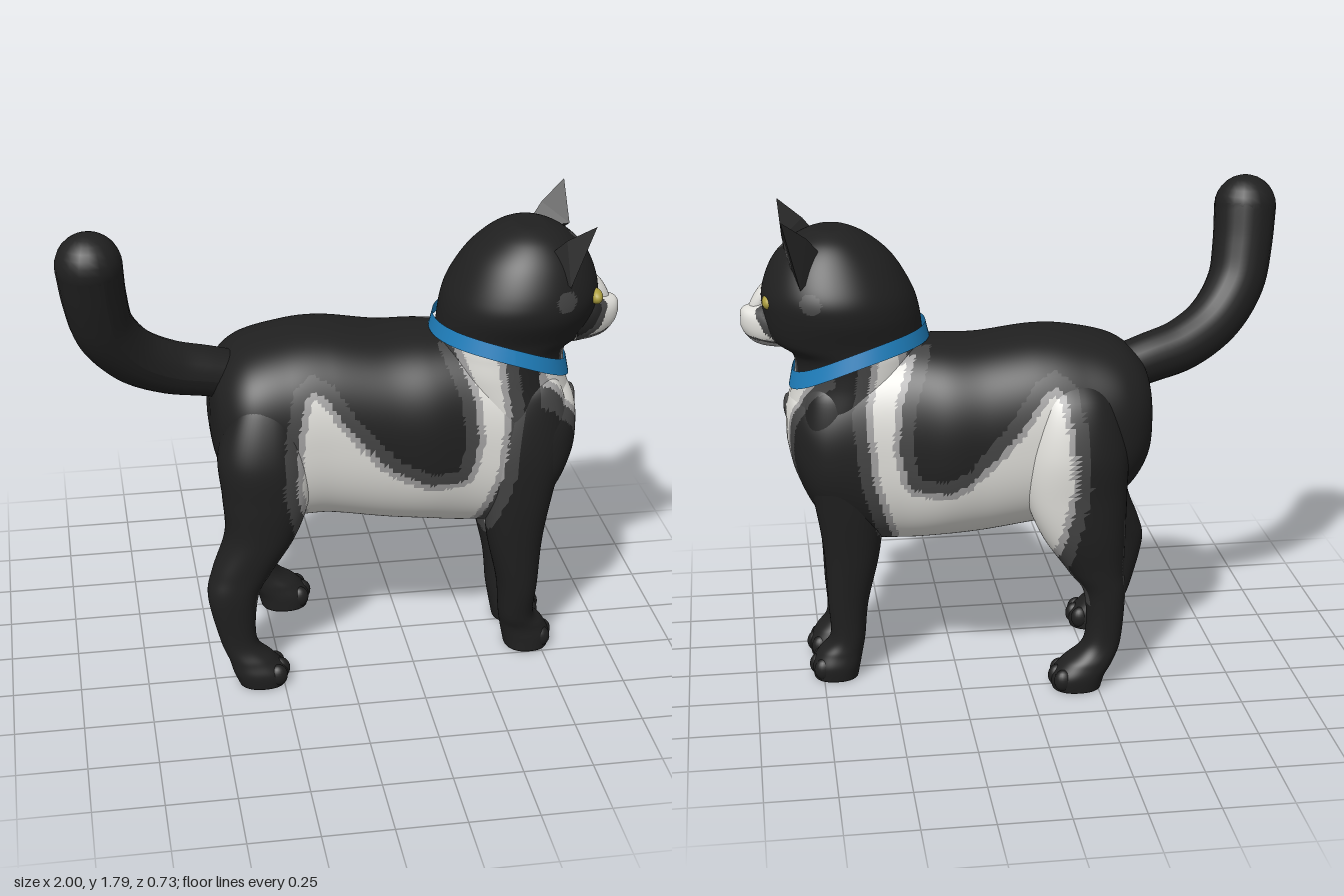
import * as THREE from 'three';
import { ConvexGeometry } from 'three/addons/geometries/ConvexGeometry.js';

const mat = (name, color, side = THREE.FrontSide) => {
  const m = new THREE.MeshStandardMaterial({ color, side });
  m.name = name;
  return m;
};

// value at t from a short table of [t, value], t ascending
function table(rows, t) {
  if (t <= rows[0][0]) return rows[0][1];
  for (let i = 1; i < rows.length; i++) {
    const [a, va] = rows[i - 1], [b, vb] = rows[i];
    if (t <= b) return va + (vb - va) * (t - a) / (b - a);
  }
  return rows[rows.length - 1][1];
}

// ---- coat markings: positive depth lies inside a white patch ----
const flank = [
  [-0.15, 0.4], [-0.2, 0.6], [-0.245, 0.8], [-0.235, 1.0], [-0.2, 1.17], [-0.13, 1.22], [-0.055, 1.18],
  [0.05, 1.03], [0.18, 0.89], [0.3, 0.83], [0.39, 0.835], [0.415, 0.95], [0.4, 1.1], [0.3, 1.36],
  [0.58, 1.36], [0.625, 1.05], [0.6, 0.8], [0.53, 0.56], [0.48, 0.4]];
function flankDepth(x, y) {
  let inside = false, d = 9;
  flank.forEach(([ax, ay], i) => {
    const [bx, by] = flank[(i + 1) % flank.length];
    if ((ay > y) !== (by > y) && x < ax + (bx - ax) * (y - ay) / (by - ay)) inside = !inside;
    const ex = bx - ax, ey = by - ay;
    const k = THREE.MathUtils.clamp(((x - ax) * ex + (y - ay) * ey) / (ex * ex + ey * ey), 0, 1);
    d = Math.min(d, Math.hypot(x - ax - k * ex, y - ay - k * ey));
  });
  return inside ? d : -d;
}
const chestWidth = [[0.36, 0], [0.42, 0.08], [0.5, 0.11], [0.6, 0.115], [0.8, 0.125], [1.0, 0.195], [1.1, 0.225], [1.2, 0.26]];
const chestCentre = [[0.6, 0.05], [0.8, 0.07], [1.0, 0.105], [1.1, 0.11], [1.2, 0.085]];
const blazeWidth = [[1.22, 0.1], [1.3, 0.13], [1.36, 0.105], [1.42, 0.05], [1.54, 0]];
const collarY = x => 1.315 - 0.175 * Math.pow(Math.max(0, x - 0.325) / 0.51, 2);

// 0 black, 1 dark grey, 2 light grey, 3 white
const shade = d => (d > 0.07 ? 3 : d > 0.046 ? 2 : d > 0 ? 1 : 0);
function bodyCoat(x, y, z) {
  const sx = z < 0 && x < 0.2 ? x - 0.035 : x;
  let d = flankDepth(sx, y);
  if (y > 1.1) d = Math.min(d, Math.abs(z - 0.04) - 0.1);
  if (x > 0.68 || (x > 0.45 && y < 0.85))
    d = Math.max(d, table(chestWidth, y) - Math.abs(z - table(chestCentre, y)));
  // inner thighs
  if (x < 0 && y < 0.66) d = Math.max(d, Math.min(0.3 - Math.abs(z), y - 0.33, x + 0.42));
  return shade(d);
}
function faceCoat(x, y, z) {
  const d = table(blazeWidth, y) - Math.abs(z - 0.11);
  if (d <= 0) return 0;
  if (d < 0.02 || Math.abs(y - 1.303 + Math.abs(z - 0.11) * 0.15) < 0.006) return 1;
  return y < 1.298 ? 2 : 3;
}
function headCoat(x, y, z) {
  if (y < collarY(x)) return bodyCoat(x, y, z);
  if (Math.hypot(x - 0.757, y - 1.472) < 0.037) return 1;
  if (x > 0.7 && Math.hypot(y - 1.63, z - 0.1) < 0.018) return 1;
  return x < 0.72 ? 0 : faceCoat(x, y, z);
}

// Loft of rounded rings. Row: [t, a0, a1, z0, z1]; t runs along y (a = x) or along x (a = y).
function loft(rows, axis, coat, round, steps, sides) {
  const rings = [];
  const cubic = (p, q, r, s, k) =>
    q + 0.5 * k * (r - p + k * (2 * p - 5 * q + 4 * r - s + k * (3 * (q - r) + s - p)));
  for (let i = 0; i < rows.length - 1; i++) {
    for (let s = 0; s < steps + (i === rows.length - 2 ? 1 : 0); s++) {
      const [p, q, r, e] = [-1, 0, 1, 2].map(o => rows[THREE.MathUtils.clamp(i + o, 0, rows.length - 1)]);
      rings.push(q.map((_, c) => cubic(p[c], q[c], r[c], e[c], s / steps)));
    }
  }
  const pos = [], lists = [[], [], [], []];
  const put = (t, a, z) => (axis === 'y' ? pos.push(a, t, z) : pos.push(t, a, z));
  const bend = v => Math.sign(v) * Math.pow(Math.abs(v), 2 / round);
  for (const [t, a0, a1, z0, z1] of rings)
    for (let j = 0; j < sides; j++) {
      const th = j / sides * Math.PI * 2;
      put(t, (a0 + a1) / 2 + (a1 - a0) / 2 * bend(Math.cos(th)), (z0 + z1) / 2 + (z1 - z0) / 2 * bend(Math.sin(th)));
    }
  const caps = [rings[0], rings[rings.length - 1]].map(([t, a0, a1, z0, z1]) => {
    put(t, (a0 + a1) / 2, (z0 + z1) / 2);
    return pos.length / 3 - 1;
  });
  const tri = (a, b, c) => {
    const m = [0, 1, 2].map(k => (pos[a * 3 + k] + pos[b * 3 + k] + pos[c * 3 + k]) / 3);
    lists[coat(...m)].push(...(axis === 'y' ? [a, b, c] : [a, c, b]));
  };
  const last = (rings.length - 1) * sides;
  for (let j = 0; j < sides; j++) {
    const n = (j + 1) % sides;
    for (let i = 0; i < last; i += sides) {
      tri(i + j, i + sides + j, i + n);
      tri(i + n, i + sides + j, i + sides + n);
    }
    tri(caps[0], j, n);
    tri(caps[1], last + n, last + j);
  }
  const g = new THREE.BufferGeometry();
  g.setAttribute('position', new THREE.Float32BufferAttribute(pos, 3));
  g.setIndex(lists.flat());
  let start = 0;
  lists.forEach((l, i) => { if (l.length) g.addGroup(start, l.length, i); start += l.length; });
  g.computeVertexNormals();
  return g;
}

export function createModel() {
  const cat = new THREE.Group();
  cat.name = 'cat';
  const black = mat('black fur', 0x202020), dark = mat('dark grey fur', 0x434343);
  const light = mat('light grey fur', 0xa09f9f), white = mat('white fur', 0xdcdbd6);
  const blue = mat('blue collar', 0x1f7fbd, THREE.DoubleSide), yellow = mat('yellow eye', 0xaea040);
  const coat = [black, dark, light, white];
  const add = (name, geo, m) => {
    const mesh = new THREE.Mesh(geo, m);
    mesh.name = name;
    cat.add(mesh);
    return mesh;
  };
  const ball = (name, m, x, y, z, rx, ry, rz, tilt = 0) => {
    const b = add(name, new THREE.SphereGeometry(1, 20, 14), m);
    b.position.set(x, y, z);
    b.scale.set(rx, ry, rz);
    b.rotation.z = tilt;
  };

  // torso
  add('torso', loft([
    [-0.475, 0.94, 1.06, -0.08, 0.06], [-0.45, 0.81, 1.17, -0.21, 0.2], [-0.36, 0.69, 1.255, -0.29, 0.29],
    [-0.2, 0.6, 1.3, -0.31, 0.31], [-0.05, 0.59, 1.31, -0.31, 0.31], [0.15, 0.56, 1.285, -0.3, 0.32],
    [0.3, 0.545, 1.285, -0.29, 0.33], [0.45, 0.53, 1.28, -0.24, 0.32], [0.6, 0.54, 1.25, -0.21, 0.33],
    [0.74, 0.63, 1.15, -0.18, 0.33], [0.82, 0.78, 1.09, -0.1, 0.27], [0.85, 0.9, 1.03, 0.01, 0.17]],
    'x', bodyCoat, 2.4, 12, 150), coat);

  // head and neck
  add('headAndNeck', loft([
    [0.9, 0.48, 0.82, -0.13, 0.3], [1.0, 0.42, 0.847, -0.175, 0.325], [1.15, 0.36, 0.815, -0.172, 0.312],
    [1.24, 0.35, 0.822, -0.172, 0.302], [1.3, 0.348, 0.895, -0.175, 0.308], [1.4, 0.36, 0.92, -0.2, 0.35],
    [1.48, 0.388, 0.92, -0.195, 0.345], [1.58, 0.45, 0.88, -0.14, 0.3], [1.65, 0.53, 0.81, -0.08, 0.24],
    [1.685, 0.6, 0.74, -0.01, 0.17], [1.69, 0.64, 0.7, 0.05, 0.11]], 'y', headCoat, 2.05, 11, 130), coat);

  // legs, from the ground up
  const legs = {
    frontLegLeft: [
      [0, 0.62, 0.785, 0.075, 0.25], [0.05, 0.61, 0.79, 0.07, 0.25], [0.1, 0.6, 0.765, 0.08, 0.25],
      [0.16, 0.59, 0.72, 0.1, 0.265], [0.3, 0.575, 0.725, 0.1, 0.295], [0.5, 0.53, 0.735, 0.09, 0.32],
      [0.7, 0.51, 0.765, 0.09, 0.34], [0.9, 0.49, 0.81, 0.08, 0.345], [1.1, 0.55, 0.78, 0.12, 0.315],
      [1.17, 0.62, 0.72, 0.18, 0.26]],
    frontLegRight: [
      [0, 0.62, 0.785, -0.13, 0.04], [0.05, 0.61, 0.79, -0.135, 0.045], [0.1, 0.6, 0.765, -0.125, 0.035],
      [0.16, 0.59, 0.72, -0.12, 0.025], [0.3, 0.575, 0.725, -0.13, 0.025], [0.5, 0.53, 0.735, -0.155, 0.03],
      [0.7, 0.51, 0.765, -0.18, 0.04], [0.9, 0.49, 0.81, -0.19, 0.06], [1.1, 0.55, 0.78, -0.16, 0.04],
      [1.17, 0.62, 0.72, -0.11, -0.02]],
    hindLegLeft: [
      [0, -0.415, -0.24, 0.2, 0.355], [0.05, -0.435, -0.235, 0.2, 0.36], [0.1, -0.45, -0.28, 0.2, 0.345],
      [0.18, -0.48, -0.345, 0.21, 0.325], [0.36, -0.52, -0.335, 0.18, 0.335], [0.46, -0.5, -0.28, 0.15, 0.335],
      [0.6, -0.45, -0.19, 0.11, 0.345], [0.75, -0.455, -0.14, 0.09, 0.355], [0.92, -0.465, -0.14, 0.08, 0.35],
      [1.1, -0.4, -0.18, 0.12, 0.285], [1.2, -0.34, -0.24, 0.14, 0.2]],
    hindLegRight: [
      [0, -0.265, -0.085, -0.35, -0.18], [0.05, -0.28, -0.08, -0.355, -0.18], [0.1, -0.31, -0.12, -0.345, -0.185],
      [0.18, -0.34, -0.205, -0.325, -0.19], [0.36, -0.355, -0.205, -0.335, -0.17], [0.46, -0.35, -0.14, -0.345, -0.15],
      [0.6, -0.355, -0.045, -0.365, -0.11], [0.75, -0.36, 0.01, -0.37, -0.09], [0.92, -0.36, 0.01, -0.37, -0.08],
      [1.1, -0.31, -0.04, -0.32, -0.12], [1.2, -0.24, -0.1, -0.22, -0.14]]
  };
  for (const [name, rows] of Object.entries(legs)) {
    add(name, loft(rows, 'y', bodyCoat, 2.3, 10, 56), coat);
    // toes
    const [, , front, z0, z1] = rows[1];
    for (const k of [0.2, 0.5, 0.8])
      ball(name + 'Toe', black, front - (k === 0.5 ? 0.025 : 0.04), 0.043, z0 + (z1 - z0) * k, 0.036, 0.042, 0.029);
  }

  // tail, swelling towards a round tip
  const path = new THREE.CatmullRomCurve3([
    [-0.36, 1.13, 0.01], [-0.48, 1.165, 0.03], [-0.62, 1.205, 0.06], [-0.75, 1.285, 0.11],
    [-0.84, 1.41, 0.165], [-0.87, 1.54, 0.205], [-0.885, 1.68, 0.24]].map(p => new THREE.Vector3(...p)));
  const tail = new THREE.TubeGeometry(path, 40, 1, 20), v = new THREE.Vector3();
  for (let i = 0; i < tail.attributes.position.count; i++) {
    const t = Math.floor(i / 21) / 40, c = path.getPointAt(t);
    v.fromBufferAttribute(tail.attributes.position, i).sub(c).multiplyScalar(0.088 + 0.027 * t).add(c);
    tail.attributes.position.setXYZ(i, v.x, v.y, v.z);
  }
  tail.computeVertexNormals();
  add('tail', tail, black);
  ball('tailTip', black, -0.885, 1.68, 0.24, 0.115, 0.115, 0.115);

  // collar: a flared band that dips towards the throat
  const band = new THREE.CylinderGeometry(0.95, 1, 0.056, 72, 1, true);
  const bp = band.attributes.position;
  for (let i = 0; i < bp.count; i++) {
    const x = 0.58 + 0.256 * bp.getX(i);
    bp.setXYZ(i, x, bp.getY(i) + collarY(x), 0.065 + 0.264 * bp.getZ(i));
  }
  band.computeVertexNormals();
  add('collar', band, blue);

  // dark spot on the chest
  ball('chestSpot', dark, 0.842, 1.015, 0.115, 0.016, 0.047, 0.044);

  // ears: tip, inner base, outer base, back base, back bulge
  const ears = {
    earRight: [[0.85, 1.76, -0.14], [0.84, 1.64, 0.0], [0.79, 1.52, -0.16], [0.69, 1.6, -0.07], [0.76, 1.69, -0.1]],
    earLeft: [[0.85, 1.745, 0.32], [0.84, 1.63, 0.17], [0.77, 1.52, 0.315], [0.69, 1.6, 0.23], [0.76, 1.68, 0.27]]
  };
  for (const [name, pts] of Object.entries(ears)) {
    const p = pts.map(a => new THREE.Vector3(...a));
    add(name, new ConvexGeometry(p), black);
    // patches of thin fur on the ear's open face
    const open = (name === 'earRight' ? [p[0], p[2], p[1]] : [p[0], p[1], p[2]]);
    const plane = new THREE.Triangle(...open);
    const mid = plane.getMidpoint(new THREE.Vector3()), normal = plane.getNormal(new THREE.Vector3());
    if (normal.x < 0) normal.negate();
    [[0.058, 0.003, dark, 'Lining'], [0.03, 0.006, light, 'Inside']].forEach(([r, lift, m, part]) => {
      const patch = add(name + part, new THREE.CircleGeometry(r, 12), m);
      patch.scale.set(0.75, 1.1, 1);
      patch.position.copy(mid).addScaledVector(normal, lift);
      patch.lookAt(patch.position.clone().add(normal));
    });
  }

  // eyes
  for (const [z, x] of [[0.213, 0.89], [-0.003, 0.899]]) {
    ball('eye', yellow, x, 1.443, z, 0.024, 0.027, 0.042);
    ball('pupil', black, x + 0.006, 1.443, z, 0.0195, 0.014, 0.007);
  }

  // muzzle, bridge and nose
  add('muzzle', loft([
    [0.82, 1.25, 1.42, -0.03, 0.25], [0.9, 1.255, 1.42, 0.0, 0.22], [0.95, 1.268, 1.41, 0.035, 0.185],
    [0.985, 1.3, 1.4, 0.065, 0.155], [1.0, 1.33, 1.385, 0.088, 0.132]], 'x', faceCoat, 2.2, 8, 48), coat);
  ball('noseBridge', white, 0.928, 1.42, 0.11, 0.03, 0.085, 0.034, 0.5);
  ball('nose', light, 0.978, 1.372, 0.11, 0.022, 0.018, 0.026);
  return cat;
}
